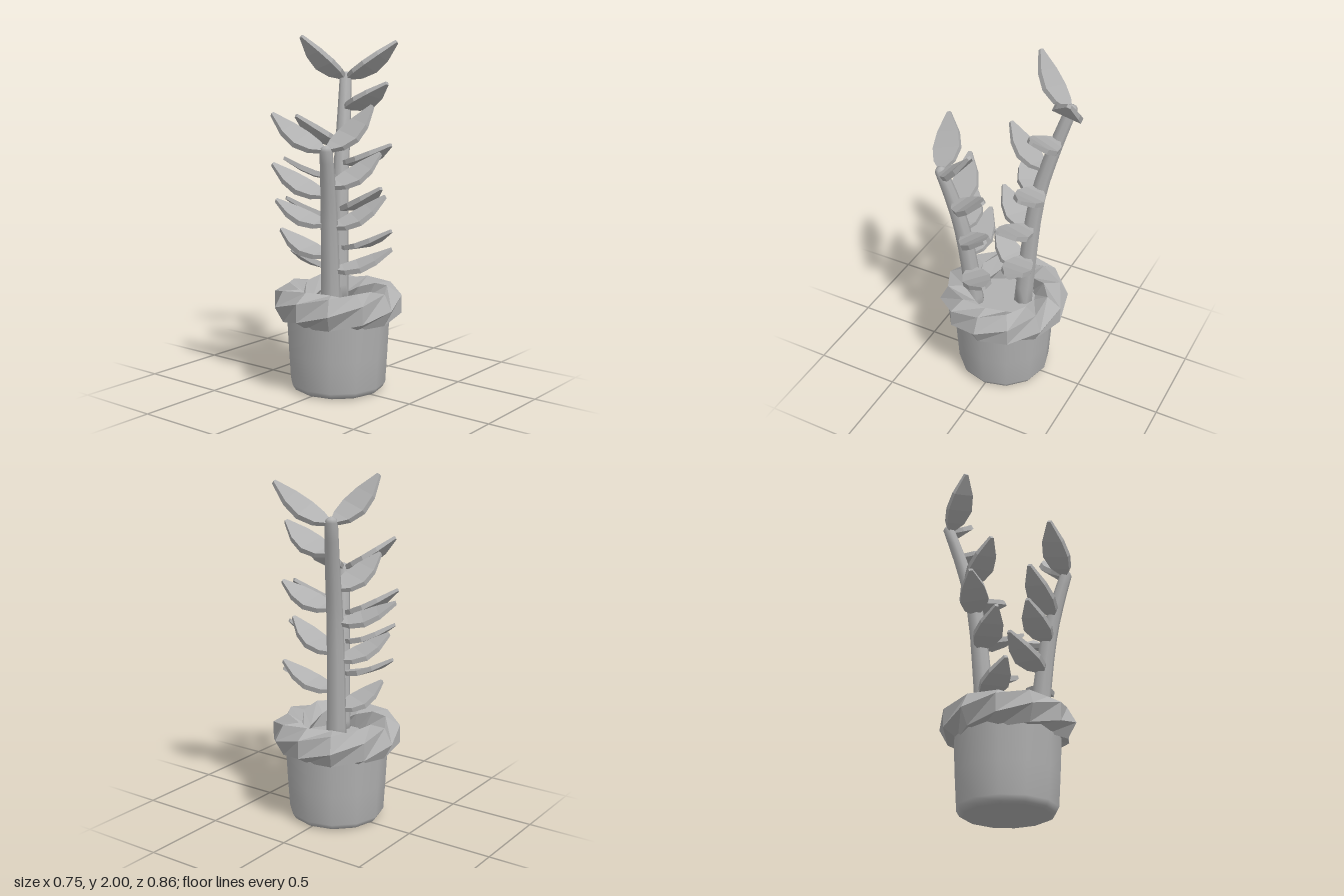
import * as THREE from 'three';

const flatGrey = new THREE.MeshStandardMaterial({ color: 0xb0b0b0 });
flatGrey.name = 'plain grey';

const V = (p) => new THREE.Vector3(...p);

function addMesh(parent, name, geometry) {
  const mesh = new THREE.Mesh(geometry, flatGrey);
  mesh.name = name;
  parent.add(mesh);
  return mesh;
}

// Skins a list of equal-length closed rings of points
function loft(rings, { closed = false, caps = false, flat = false }) {
  const n = rings[0].length;
  const index = [];
  const spans = closed ? rings.length : rings.length - 1;
  for (let i = 0; i < spans; i++) {
    const a = i * n, b = ((i + 1) % rings.length) * n;
    for (let j = 0; j < n; j++) {
      const k = (j + 1) % n;
      index.push(a + j, a + k, b + j, a + k, b + k, b + j);
    }
  }
  if (caps) {
    const last = (rings.length - 1) * n;
    for (let j = 1; j < n - 1; j++) index.push(0, j + 1, j, last, last + j, last + j + 1);
  }
  let geometry = new THREE.BufferGeometry().setFromPoints(rings.flat());
  geometry.setIndex(index);
  if (flat) geometry = geometry.toNonIndexed();
  geometry.computeVertexNormals();
  return geometry;
}

// Twisted rope-like rim: a hexagon turned a little at each step round the pot
function rimGeometry() {
  const steps = 12, sides = 6, rings = [];
  for (let i = 0; i < steps; i++) {
    const a = (i / steps) * Math.PI * 2;
    const ring = [];
    for (let j = 0; j < sides; j++) {
      const p = (j / sides) * Math.PI * 2 - a;
      const r = 0.28 + 0.097 * Math.cos(p);
      ring.push(new THREE.Vector3(r * Math.cos(a), 0.5 + 0.103 * Math.sin(p), r * Math.sin(a)));
    }
    rings.push(ring);
  }
  return loft(rings, { closed: true, flat: true });
}

// Tapered bent stem with a rounded tip
function stemGeometry(curve) {
  const sides = 8, rings = [];
  const ringAt = (centre, radius) => Array.from({ length: sides }, (_, j) => {
    const a = (j / sides) * Math.PI * 2;
    return new THREE.Vector3(centre.x + radius * Math.cos(a), centre.y, centre.z - radius * Math.sin(a));
  });
  for (let i = 0; i <= 10; i++) rings.push(ringAt(curve.getPoint(i / 10), 0.058 - 0.023 * (i / 10)));
  const tip = curve.getPoint(1);
  for (const [up, r] of [[0.018, 0.028], [0.028, 0.012], [0.03, 0.001]]) {
    rings.push(ringAt(tip.clone().add(V([0, up, 0])), r));
  }
  return loft(rings, { caps: true });
}

// Thick leaf: station along the length, half width, sag, half thickness
const LEAF = [
  [0, 0.018, 0, 0.012], [0.16, 0.06, 0.016, 0.014], [0.4, 0.081, 0.026, 0.015],
  [0.67, 0.064, 0.02, 0.014], [1, 0.01, 0, 0.009],
];

function leafGeometry(base, tip, axis) {
  const along = tip.clone().sub(base);
  const dir = along.clone().normalize();
  const up = axis.clone().addScaledVector(dir, -axis.dot(dir)).normalize();
  const side = new THREE.Vector3().crossVectors(up, dir);
  const rings = LEAF.map(([t, w, sag, h]) => {
    const centre = base.clone().addScaledVector(along, t).addScaledVector(up, -sag);
    return [[-w, -h], [w, -h], [w, h], [-w, h]].map(([s, u]) =>
      centre.clone().addScaledVector(side, s).addScaledVector(up, u));
  });
  return loft(rings, { caps: true, flat: true });
}

// Stem paths, and leaves as [height on the stem, tip position]
const STEMS = [
  {
    name: 'tallStem',
    path: [[-0.065, 0.43, -0.09], [-0.08, 0.8, -0.115], [-0.1, 1.2, -0.155], [-0.135, 1.5, -0.225], [-0.18, 1.76, -0.3]],
    leaves: [
      [1.74, [0.105, 1.96, -0.41]], [1.74, [-0.31, 1.99, -0.055]],
      [1.57, [0.165, 1.73, -0.235]], [1.26, [0.22, 1.39, -0.2]],
      [1.0, [0.24, 1.16, -0.08]], [0.78, [0.265, 0.915, -0.145]],
      [1.37, [-0.235, 1.55, 0.08]], [1.18, [-0.365, 1.3, 0.04]],
      [0.96, [-0.26, 1.09, 0.14]], [0.67, [-0.205, 0.8, 0.16]],
    ],
  },
  {
    name: 'shortStem',
    path: [[0.075, 0.43, 0.155], [0.085, 0.65, 0.17], [0.108, 1.0, 0.21], [0.135, 1.22, 0.255], [0.16, 1.39, 0.3]],
    leaves: [
      [1.38, [0.28, 1.62, 0.055]], [1.38, [-0.125, 1.58, 0.405]],
      [1.18, [0.28, 1.36, -0.02]], [0.95, [0.3, 1.125, -0.04]], [0.71, [0.34, 0.835, -0.05]],
      [1.13, [-0.2, 1.3, 0.32]], [0.97, [-0.195, 1.1, 0.3]], [0.79, [-0.24, 0.92, 0.21]],
    ],
  },
];

export function createModel() {
  const model = new THREE.Group();
  model.name = 'pottedPlant';

  // Pot, with a softened bottom edge
  const profile = [[0, 0], [0.235, 0], [0.256, 0.01], [0.274, 0.04], [0.285, 0.22], [0.297, 0.46]];
  addMesh(model, 'pot', new THREE.LatheGeometry(profile.map(([r, y]) => new THREE.Vector2(r, y)), 12));
  addMesh(model, 'rim', rimGeometry());

  // Soil
  const soil = addMesh(model, 'soil', new THREE.CircleGeometry(0.27, 12));
  soil.rotation.x = -Math.PI / 2;
  soil.position.y = 0.47;

  // Stems with their leaves, each leaf starting just off the stem centre
  for (const { name, path, leaves } of STEMS) {
    const plant = new THREE.Group();
    plant.name = name + 'Plant';
    model.add(plant);
    const curve = new THREE.CatmullRomCurve3(path.map(V));
    addMesh(plant, name, stemGeometry(curve));
    for (const [height, tipPoint] of leaves) {
      let t = 0;
      while (t < 1 && curve.getPoint(t).y < height) t += 0.005;
      t = Math.min(t, 1);
      const tip = V(tipPoint);
      const base = curve.getPoint(t).lerp(tip, 0.05);
      addMesh(plant, 'leaf', leafGeometry(base, tip, curve.getTangent(t)));
    }
  }
  return model;
}
